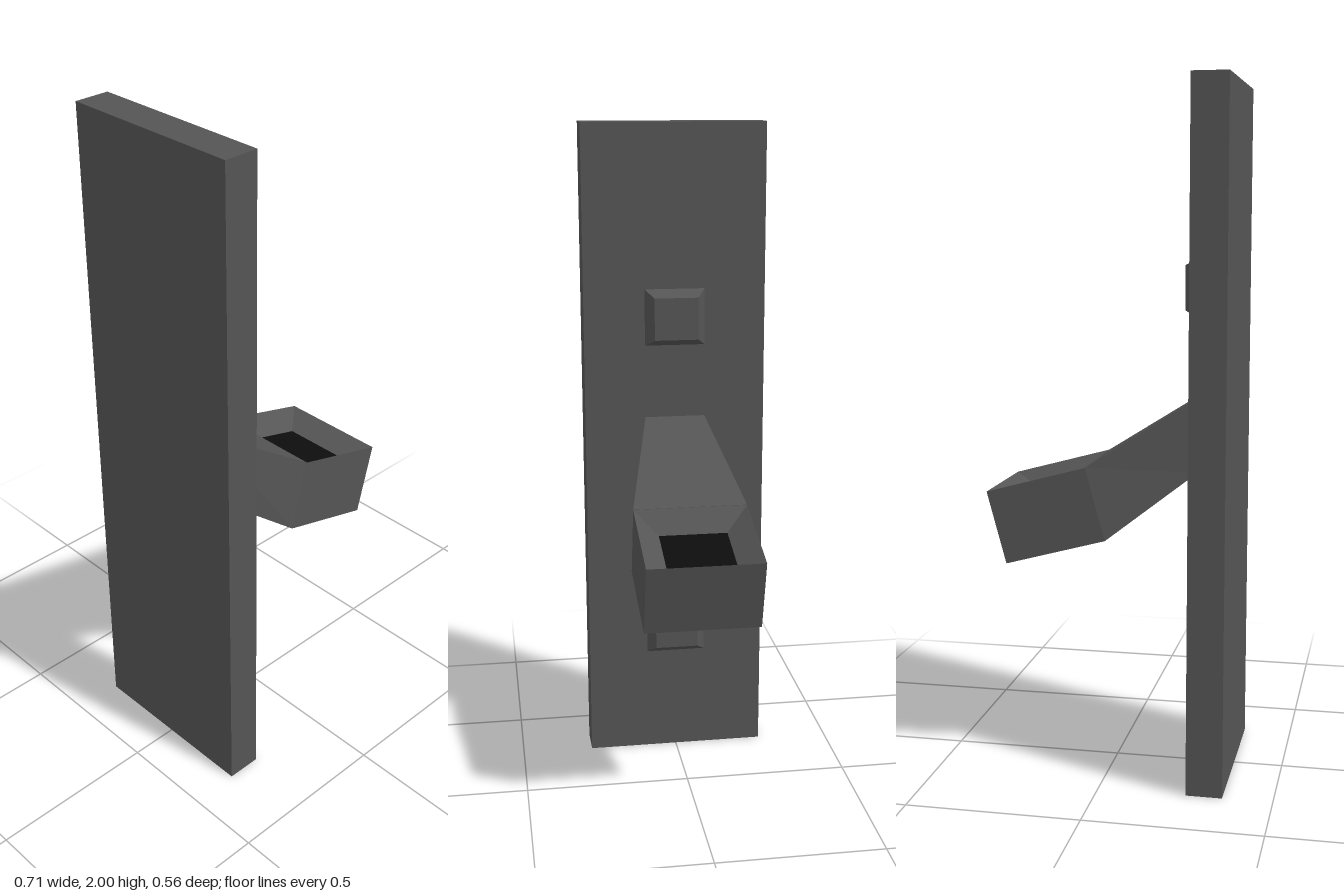
import * as THREE from 'three';

const dark = new THREE.MeshStandardMaterial({ color: 0x555555, flatShading: true });
const black = new THREE.MeshStandardMaterial({ color: 0x0d0d0d, flatShading: true });

// Flat-shaded mesh from four-cornered faces
function quadMesh(name, quads, material) {
  const pos = [];
  for (const [a, b, c, d] of quads) pos.push(...a, ...b, ...c, ...a, ...c, ...d);
  const geo = new THREE.BufferGeometry();
  geo.setAttribute('position', new THREE.Float32BufferAttribute(pos, 3));
  geo.computeVertexNormals();
  const mesh = new THREE.Mesh(geo, material);
  mesh.name = name;
  return mesh;
}

// Side faces joining successive four-cornered rings
function loft(rings) {
  const quads = [];
  for (let r = 0; r < rings.length - 1; r++) {
    for (let i = 0; i < 4; i++) {
      const j = (i + 1) % 4;
      quads.push([rings[r][i], rings[r][j], rings[r + 1][j], rings[r + 1][i]]);
    }
  }
  return quads;
}

// Ring across the x direction, from a lower to an upper point, with half-width w
const crossRing = ([x0, y0], [x1, y1], w) =>
  [[x0, y0, -w], [x1, y1, -w], [x1, y1, w], [x0, y0, w]];

export function createModel() {
  const group = new THREE.Group();
  const face = -0.253;

  // Upright backing plate
  const plate = new THREE.Mesh(new THREE.BoxGeometry(0.104, 2, 0.556), dark);
  plate.name = 'backPlate';
  plate.position.set(-0.305, 1, 0);
  group.add(plate);

  // Bevelled studs above and below the arm
  for (const [name, y, out] of [['upperStud', 1.422, -0.21], ['lowerStud', 0.418, -0.222]]) {
    const base = crossRing([face, y - 0.086], [face, y + 0.086], 0.092);
    const top = crossRing([out, y - 0.064], [out, y + 0.064], 0.067);
    group.add(quadMesh(name, [...loft([base, top]), top], dark));
  }

  // Flaring arm that slopes down to the head
  const elbowLow = [0.003, 0.7], elbowHigh = [0.06, 0.912], w = 0.169;
  group.add(quadMesh('arm', loft([
    crossRing([face, 0.895], [face, 1.112], 0.092),
    crossRing(elbowLow, elbowHigh, w),
  ]), dark));

  // Tilted head: s runs outward along it, h runs up through it
  const along = new THREE.Vector2(0.294, -0.08), len = along.length();
  along.normalize();
  const up = new THREE.Vector2(-along.y, along.x);
  const height = 0.219, inset = 0.068, depth = 0.05;
  const headRing = (h, margin) => {
    const at = (s, z) => [
      elbowLow[0] + along.x * s + up.x * h,
      elbowLow[1] + along.y * s + up.y * h,
      z,
    ];
    const s0 = margin, s1 = len - margin, z = w - margin;
    return [at(s0, -z), at(s0, z), at(s1, z), at(s1, -z)];
  };
  const rings = [
    headRing(depth, inset), headRing(0, 0),
    headRing(height, 0), headRing(height - depth, inset),
  ];
  group.add(quadMesh('head', loft(rings), dark));

  // Black panels at the bottom of both funnels
  group.add(quadMesh('upperPanel', [rings[3]], black));
  group.add(quadMesh('lowerPanel', [[...rings[0]].reverse()], black));

  return group;
}
